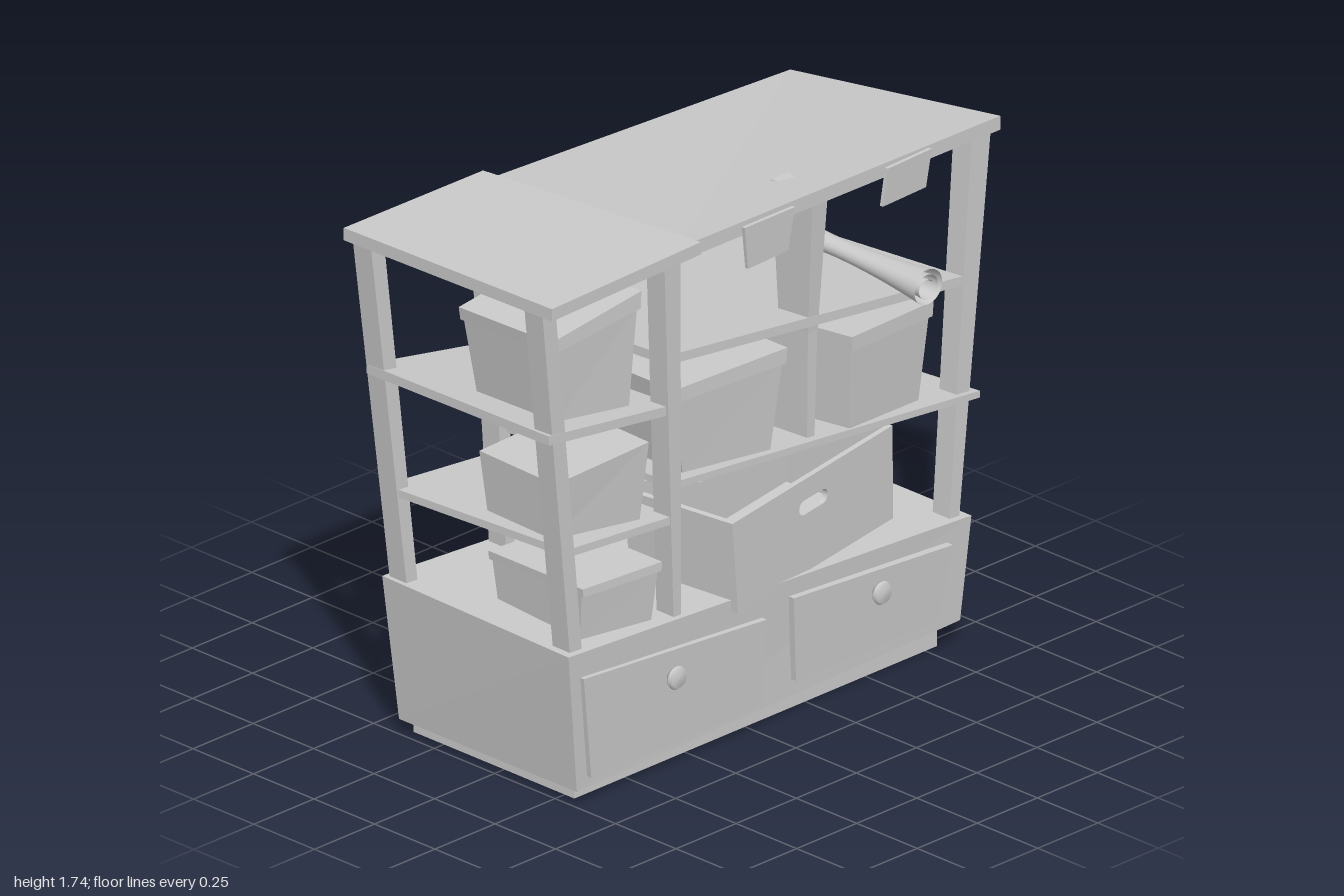
import * as THREE from 'three';
import { ParametricGeometry } from 'three/addons/geometries/ParametricGeometry.js';

const grey = new THREE.MeshStandardMaterial({ color: 0xcccccc });
const greyThin = new THREE.MeshStandardMaterial({ color: 0xcccccc, side: THREE.DoubleSide });

export function createModel() {
  const root = new THREE.Group();

  const add = (name, geometry, material = grey) => {
    const mesh = new THREE.Mesh(geometry, material);
    mesh.name = name;
    root.add(mesh);
    return mesh;
  };

  // Crooked box: corners run front-left, front-right, back-right, back-left (as seen from the front)
  const crookedBox = (name, bottom, top) => {
    const g = new THREE.BoxGeometry(1, 1, 1).toNonIndexed();
    const p = g.attributes.position;
    for (let i = 0; i < p.count; i++) {
      const ring = p.getY(i) > 0 ? top : bottom;
      const right = p.getX(i) > 0;
      p.setXYZ(i, ...ring[p.getZ(i) > 0 ? (right ? 1 : 0) : (right ? 2 : 3)]);
    }
    g.computeVertexNormals();
    return add(name, g);
  };

  const slab = (name, top, t) =>
    crookedBox(name, top.map(([x, y, z]) => [x, y - t, z]), top);

  const rect = ([x, y, z], w, d) => [
    [x - w / 2, y, z + d / 2], [x + w / 2, y, z + d / 2],
    [x + w / 2, y, z - d / 2], [x - w / 2, y, z - d / 2]];

  const post = (name, b, t, wb, wt, db = 0.07, dt = 0.075) =>
    crookedBox(name, rect(b, wb, db), rect(t, wt, dt));

  // Base cabinet on its plinth
  crookedBox('plinth',
    [[-0.71, 0, 0.29], [0.8, 0, 0.29], [0.8, 0, -0.375], [-0.71, 0, -0.375]],
    [[-0.71, 0.07, 0.29], [0.8, 0.09, 0.29], [0.8, 0.09, -0.375], [-0.71, 0.07, -0.375]]);
  crookedBox('baseCabinet',
    [[-0.75, 0.05, 0.34], [0.845, 0.085, 0.34], [0.84, 0.05, -0.4], [-0.745, 0.045, -0.4]],
    [[-0.815, 0.515, 0.37], [0.88, 0.415, 0.352], [0.87, 0.42, -0.415], [-0.8, 0.52, -0.415]]);

  // Drawer fronts follow the lean of the cabinet face
  const faceZ = (y) => 0.337 + 0.055 * y;
  const drawer = (name, bl, br, tr, tl) => {
    const at = ([x, y], out) => [x, y, faceZ(y) + out];
    crookedBox(name, [at(bl, 0.018), at(br, 0.018), at(br, -0.02), at(bl, -0.02)],
      [at(tl, 0.018), at(tr, 0.018), at(tr, -0.02), at(tl, -0.02)]);
  };
  drawer('drawerFront', [-0.71, 0.09], [0.0, 0.09], [0.005, 0.372], [-0.76, 0.43]);
  drawer('drawerFront', [0.14, 0.125], [0.735, 0.125], [0.78, 0.36], [0.115, 0.405]);

  const knobProfile = [[0, 0], [0.018, 0], [0.018, 0.015], [0.034, 0.018], [0.037, 0.026], [0.03, 0.036], [0, 0.038]]
    .map(([x, y]) => new THREE.Vector2(x, y));
  for (const [x, y] of [[-0.39, 0.32], [0.465, 0.315]]) {
    const knob = add('drawerKnob', new THREE.LatheGeometry(knobProfile, 24));
    knob.rotation.x = Math.PI / 2;
    knob.position.set(x, y, faceZ(y) + 0.016);
  }

  // Leaning posts
  post('frontLeftPost', [-0.757, 0.48, 0.31], [-0.93, 1.69, 0.365], 0.05, 0.055);
  post('frontMiddlePost', [-0.337, 0.46, 0.31], [-0.41, 1.69, 0.36], 0.03, 0.068);
  post('frontRightPost', [0.83, 0.4, 0.295], [0.94, 1.64, 0.297], 0.04, 0.08);
  post('backLeftPost', [-0.757, 0.48, -0.365], [-0.91, 1.67, -0.365], 0.045, 0.055);
  post('backMiddlePost', [-0.345, 0.45, -0.37], [-0.41, 1.64, -0.38], 0.035, 0.065);
  post('backRightPost', [0.795, 0.4, -0.38], [0.86, 1.54, -0.415], 0.04, 0.075);

  // Divider: a panel in the lower bay, a short post in the upper one
  crookedBox('dividerPanel',
    [[0.228, 0.83, 0.32], [0.258, 0.83, 0.32], [0.258, 0.8, -0.36], [0.228, 0.8, -0.36]],
    [[0.222, 1.245, 0.33], [0.262, 1.245, 0.33], [0.262, 1.18, -0.36], [0.222, 1.18, -0.36]]);
  post('dividerPost', [0.242, 1.21, 0.27], [0.238, 1.67, 0.28], 0.04, 0.065, 0.12, 0.17);

  // Shelves, sagging to the right and to the back
  slab('upperShelf', [[-0.375, 1.335, 0.34], [0.865, 1.185, 0.33], [0.87, 1.13, -0.37], [-0.37, 1.295, -0.37]], 0.03);
  slab('lowerShelf', [[-0.36, 0.925, 0.35], [0.917, 0.805, 0.35], [0.89, 0.77, -0.375], [-0.36, 0.885, -0.375]], 0.022);
  slab('sideUpperShelf', [[-0.912, 1.265, 0.385], [-0.37, 1.185, 0.365], [-0.37, 1.15, -0.38], [-0.88, 1.235, -0.4]], 0.03);
  slab('sideLowerShelf', [[-0.81, 0.857, 0.36], [-0.36, 0.82, 0.355], [-0.36, 0.79, -0.38], [-0.82, 0.83, -0.385]], 0.025);

  // Two roof boards, the side one riding over the main one
  slab('sideRoof', [[-1, 1.737, 0.485], [-0.35, 1.732, 0.455], [-0.37, 1.685, -0.425], [-0.955, 1.692, -0.42]], 0.04);
  slab('mainRoof', [[-0.4, 1.712, 0.407], [0.997, 1.668, 0.355], [0.976, 1.55, -0.492], [-0.4, 1.655, -0.422]], 0.045);

  // Storage boxes: [xLeft, yLeft, xRight, yRight] of the front face, turned by the small slope k
  const DROP = 0.06;
  const ring = ([xl, yl, xr, yr], z, d, k, grow = 0) => {
    const w = xr - xl, sink = DROP * d;
    return [
      [xl - grow, yl, z + grow], [xr + grow, yr, z + k * w + grow],
      [xr + k * d + grow, yr - sink, z + k * w - d - grow], [xl + k * d - grow, yl - sink, z - d - grow]];
  };
  const mix = (a, b, t) => a.map((v, i) => v + (b[i] - v) * t);
  const storageBox = (name, bottom, top, z, d, k, lid) => {
    const taper = 0.025;
    const low = ring(bottom, z - taper, d - 2 * taper, k);
    if (!lid) return crookedBox(name, low, ring(top, z, d, k));
    const t = 0.85;
    crookedBox(name, low, ring(mix(bottom, top, t), z - 0.008, d - 0.016, k));
    crookedBox(name + 'Lid', ring(mix(bottom, top, t), z, d, k, 0.004), ring(top, z, d, k, 0.004));
  };
  storageBox('tallBox', [-0.8, 1.25, -0.515, 1.215], [-0.845, 1.53, -0.5, 1.59], 0.33, 0.4, 0.06, true);
  storageBox('middleSideBox', [-0.785, 0.855, -0.465, 0.83], [-0.8, 1.045, -0.455, 1.085], 0.3, 0.36, 0.13, false);
  storageBox('lowSideBox', [-0.69, 0.505, -0.42, 0.49], [-0.705, 0.685, -0.41, 0.685], 0.32, 0.42, 0.09, true);
  storageBox('centreBox', [-0.275, 0.915, 0.06, 0.89], [-0.335, 1.21, 0.09, 1.22], 0.33, 0.45, 0.09, true);
  storageBox('rightBox', [0.375, 0.86, 0.69, 0.84], [0.36, 1.17, 0.725, 1.155], 0.375, 0.45, -0.09, true);

  // Large open crate with a slotted handle at front and back
  const crate = new THREE.Group();
  crate.name = 'openCrate';
  const W = 0.77, D = 0.4, T = 0.018;
  const panel = (name, w, h, slot) => {
    const s = new THREE.Shape([[-w / 2 + 0.012, 0], [w / 2 - 0.012, 0], [w / 2, h], [-w / 2, h]]
      .map(([x, y]) => new THREE.Vector2(x, y)));
    if (slot) {
      const hole = new THREE.Path();
      hole.absarc(0.045, h * 0.7, 0.023, -Math.PI / 2, Math.PI / 2);
      hole.absarc(-0.045, h * 0.7, 0.023, Math.PI / 2, Math.PI * 1.5);
      s.holes.push(hole);
    }
    const m = new THREE.Mesh(new THREE.ExtrudeGeometry(s, { depth: T, bevelEnabled: false, curveSegments: 8 }), grey);
    m.name = name;
    crate.add(m);
    return m;
  };
  panel('crateFront', W, 0.3, true).position.z = D / 2 - T;
  panel('crateBack', W, 0.3, true).position.z = -D / 2;
  for (const side of [-1, 1]) {
    const m = panel('crateSide', D - 0.01, 0.3, false);
    m.rotation.set(0, Math.PI / 2, -side * 0.04, 'ZYX');
    m.position.x = side > 0 ? W / 2 - 0.03 : -W / 2 + 0.012;
  }
  const floor = new THREE.Mesh(new THREE.BoxGeometry(W - 0.03, T, D - 0.01), grey);
  floor.name = 'crateFloor';
  floor.position.y = T / 2;
  crate.add(floor);
  crate.position.set(0.22, 0.455, 0.14);
  crate.rotation.set(0, 0.125, 0.05);
  root.add(crate);

  // Rolled sheet: a spiral, pinched in the middle and flared at the ends
  const roll = new ParametricGeometry((u, v, out) => {
    const a = u * Math.PI * 4.5 + 0.6;
    const s = 2 * v - 1;
    const r = (0.032 + 0.02 * s * s + 0.01 * (1 - v) * Math.abs(s)) * (0.4 + 0.6 * u);
    out.set(0.57 + 0.03 * v + r * Math.cos(a) * 1.1, 1.29 + r * Math.sin(a), 0.478 - 0.748 * v);
  }, 64, 16);
  add('rolledSheet', roll, greyThin);

  // Small tags hanging from the roof edge
  const tag = (bl, br, tr, tl, z) => {
    const at = ([x, y], dz) => [x, y, z + dz];
    crookedBox('hangingTag', [at(bl, 0), at(br, 0), at(br, -0.012), at(bl, -0.012)],
      [at(tl, 0.006), at(tr, 0.006), at(tr, -0.006), at(tl, -0.006)]);
  };
  tag([-0.105, 1.55], [0.062, 1.555], [0.085, 1.69], [-0.125, 1.69], 0.407);
  tag([0.475, 1.555], [0.655, 1.56], [0.673, 1.68], [0.49, 1.675], 0.388);

  return root;
}
